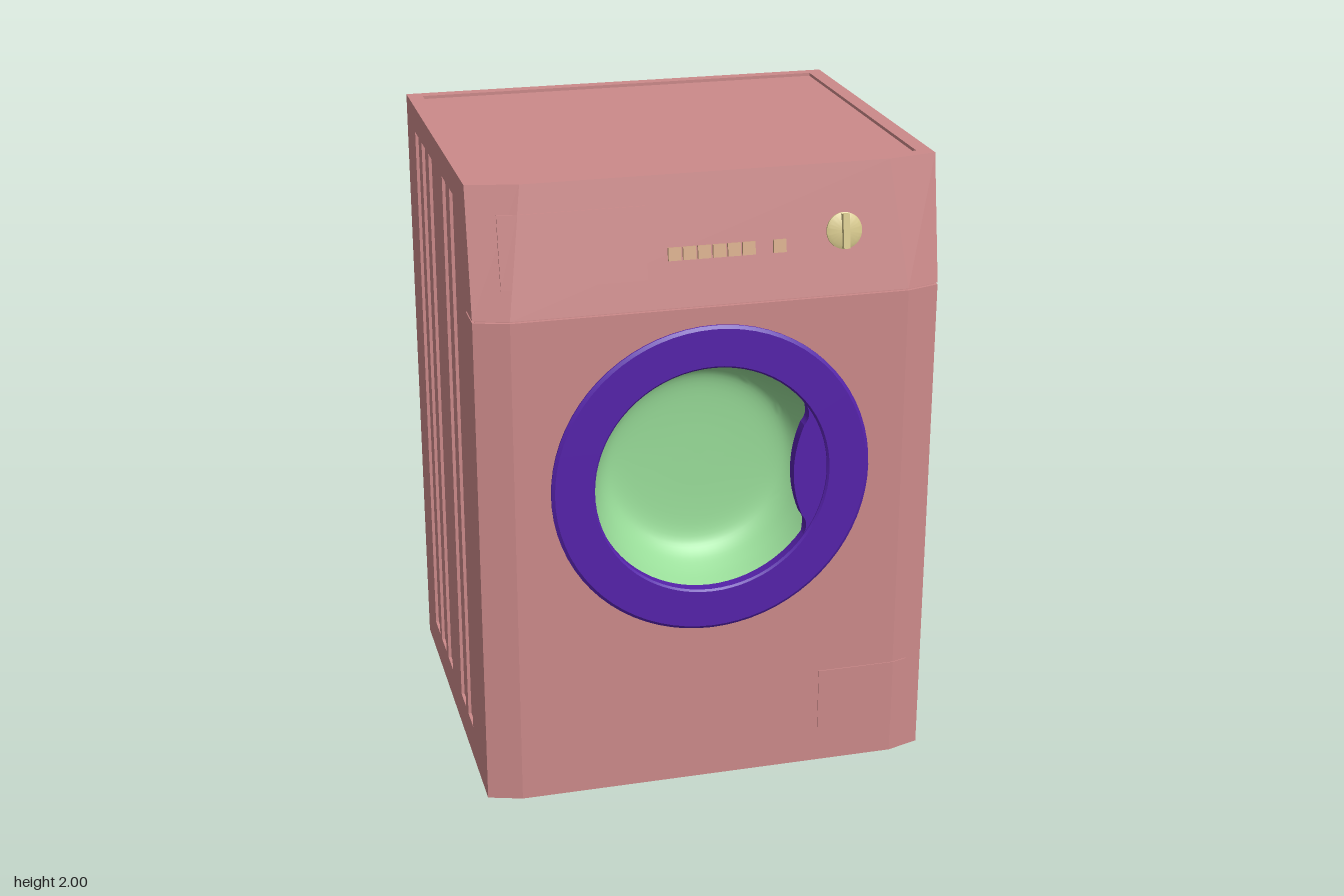
import * as THREE from 'three';
import { toCreasedNormals } from 'three/addons/utils/BufferGeometryUtils.js';

const paint = (color, side = THREE.FrontSide) => new THREE.MeshStandardMaterial({ color, side });
const SLOPE = Math.atan(0.07 / 0.39);
const DOOR_Y = 1.05;

// Front surface: flat, with angled outer edges, leaning back above y = 1.61
const edgeX = (y) => 0.61 - 0.05 * Math.max(0, (y - 1.61) / 0.39);
function frontZ(x, y) {
  const z = 0.605 - 0.07 * Math.max(0, (y - 1.61) / 0.39);
  const e = edgeX(y);
  return z - 0.033 * Math.max(0, (Math.abs(x) - e) / (0.715 - e));
}

// Solid piece whose front follows the front surface, offset by lift
function slab(x0, x1, y0, y1, zBack, lift = 0) {
  const corners = [-1, 1].filter((s) => s * edgeX(y0) > x0 && s * edgeX(y0) < x1);
  const section = (y) => {
    const xs = [x0, ...corners.map((s) => s * edgeX(y)), x1];
    return [...xs.map((x) => [x, y, frontZ(x, y) + lift]), [x1, y, zBack], [x0, y, zBack]];
  };
  const a = section(y0), b = section(y1), n = a.length, pos = [];
  const tri = (...pts) => pts.forEach((p) => pos.push(...p));
  for (let i = 0; i < n; i++) {
    const j = (i + 1) % n;
    tri(a[i], a[j], b[j]);
    tri(a[i], b[j], b[i]);
    if (i > 0 && i < n - 1) {
      tri(b[0], b[i], b[j]);
      tri(a[0], a[j], a[i]);
    }
  }
  const g = new THREE.BufferGeometry();
  g.setAttribute('position', new THREE.Float32BufferAttribute(pos, 3));
  g.computeVertexNormals();
  return g;
}

// Box given by its limits
function block(x0, x1, y0, y1, z0, z1) {
  return new THREE.BoxGeometry(x1 - x0, y1 - y0, z1 - z0)
    .translate((x0 + x1) / 2, (y0 + y1) / 2, (z0 + z1) / 2);
}

function rect(target, x0, x1, y0, y1) {
  target.moveTo(x0, y0).lineTo(x1, y0).lineTo(x1, y1).lineTo(x0, y1).closePath();
  return target;
}

// Profile of [radius, z] turned around the z axis
function turned(profile, crease = 0.5) {
  const g = new THREE.LatheGeometry(profile.map(([r, z]) => new THREE.Vector2(r, z)), 72);
  return toCreasedNormals(g.rotateX(Math.PI / 2), crease);
}

export function createModel() {
  const model = new THREE.Group();
  const body = paint(0xcc8a8a), purple = paint(0x5522aa), cream = paint(0xd6c88c);
  const buttonTan = paint(0xd2a886), black = paint(0x0a0a0a);
  const glass = paint(0x99dd99, THREE.DoubleSide);
  const add = (name, geometry, material, parent = model) => {
    const mesh = new THREE.Mesh(geometry, material);
    mesh.name = name;
    parent.add(mesh);
    return mesh;
  };

  // Casing: side walls with five shallow recesses, back, bottom and sunken top
  const slots = [[0.23, 0.32], [0.095, 0.185], [-0.17, -0.08], [-0.31, -0.215], [-0.445, -0.35]];
  const wall = rect(new THREE.Shape(), -0.47, 0.615, 0.02, 2);
  for (const [z0, z1] of slots) wall.holes.push(rect(new THREE.Path(), -z1, -z0, 0.135, 1.915));
  for (const s of [-1, 1]) {
    const skin = new THREE.ExtrudeGeometry(wall, { depth: 0.01, bevelEnabled: false });
    skin.rotateY(Math.PI / 2);
    // the left skin is mirrored by moving the same plate across
    skin.translate(s > 0 ? 0.705 : -0.715, 0, 0);
    add('sideWall', skin, body);
    add('sideWallBacking', block(s > 0 ? 0.667 : -0.705, s > 0 ? 0.705 : -0.667, 0.02, 2, -0.615, 0.47), body);
  }
  add('backWall', block(-0.667, 0.667, 0.02, 2, -0.615, -0.575), body);
  add('bottomPlate', block(-0.667, 0.667, 0.02, 0.05, -0.575, 0.47), body);
  add('topPanel', block(-0.667, 0.667, 1.95, 1.99, -0.575, 0.47), body);

  // Lower front with a round opening, and its angled edges
  const front = rect(new THREE.Shape(), -0.61, 0.61, 0.02, 1.606);
  front.holes.push(new THREE.Path().absarc(0, DOOR_Y, 0.37, 0, Math.PI * 2, true));
  add('frontPanel', new THREE.ExtrudeGeometry(front, { depth: 0.135, bevelEnabled: false, curveSegments: 36 })
    .translate(0, 0, 0.47), body);
  add('frontEdgeLeft', slab(0.61, 0.715, 0.02, 1.606, 0.47), body);
  add('frontEdgeRight', slab(-0.715, -0.61, 0.02, 1.606, 0.47), body);
  add('filterHatch', slab(0.36, 0.66, 0.115, 0.345, 0.55, 0.003), body);

  // Sloping control panel above a narrow groove
  add('panelGroove', slab(-0.707, 0.707, 1.6, 1.62, 0.47, -0.01), body);
  add('controlPanel', slab(-0.715, 0.715, 1.612, 2, 0.47), body);
  add('detergentDrawer', slab(-0.63, -0.195, 1.7, 1.915, 0.5, 0.003), body);

  // Buttons
  for (const x of [-0.113, -0.068, -0.023, 0.023, 0.068, 0.113, 0.208]) {
    const button = add('button', new THREE.BoxGeometry(0.039, 0.039, 0.02), buttonTan);
    button.position.set(x, 1.77, frontZ(x, 1.77));
    button.rotation.x = -SLOPE;
  }

  // Program knob: shallow dome with a grip bar
  const knob = new THREE.Group();
  knob.name = 'programKnob';
  knob.position.set(0.41, 1.8, frontZ(0.41, 1.8));
  knob.rotation.x = -SLOPE;
  add('knobDisc', turned([[0.055, -0.01], [0.055, 0.006], [0.045, 0.011], [0, 0.014]]), cream, knob);
  add('knobGrip', block(-0.01, 0.01, -0.052, 0.052, 0, 0.028), cream, knob);
  model.add(knob);

  // Door: ring, glass bowl and handle plate
  const door = new THREE.Group();
  door.name = 'door';
  door.position.y = DOOR_Y;
  add('doorRing', turned([[0.5, 0.59], [0.5, 0.61], [0.49, 0.617], [0.372, 0.617], [0.366, 0.611], [0.366, 0.56]]), purple, door);
  const bowl = new THREE.SplineCurve([[0.368, 0.585], [0.345, 0.52], [0.31, 0.46], [0.26, 0.43], [0.15, 0.42], [0, 0.418]]
    .map(([r, z]) => new THREE.Vector2(r, z))).getPoints(24).map((p) => [Math.max(0, p.x), p.y]);
  add('doorGlass', turned(bowl, 1), glass, door);
  const grip = new THREE.Shape();
  grip.moveTo(0.275, 0.243);
  grip.quadraticCurveTo(0.325, 0.19, 0.29, 0.15);
  grip.quadraticCurveTo(0.23, 0, 0.29, -0.15);
  grip.quadraticCurveTo(0.325, -0.19, 0.275, -0.243);
  grip.absarc(0, 0, 0.367, -0.724, 0.724, false);
  add('doorHandle', new THREE.ExtrudeGeometry(grip, { depth: 0.04, bevelEnabled: false, curveSegments: 20 })
    .translate(0, 0, 0.567), purple, door);
  model.add(door);

  // Feet
  for (const x of [-0.66, 0.66]) for (const z of [-0.54, 0.53]) {
    add('footStem', new THREE.CylinderGeometry(0.014, 0.014, 0.02, 16).translate(x, 0.015, z), black);
    add('footPad', new THREE.CylinderGeometry(0.02, 0.026, 0.012, 20).translate(x, 0.006, z), black);
  }
  return model;
}
